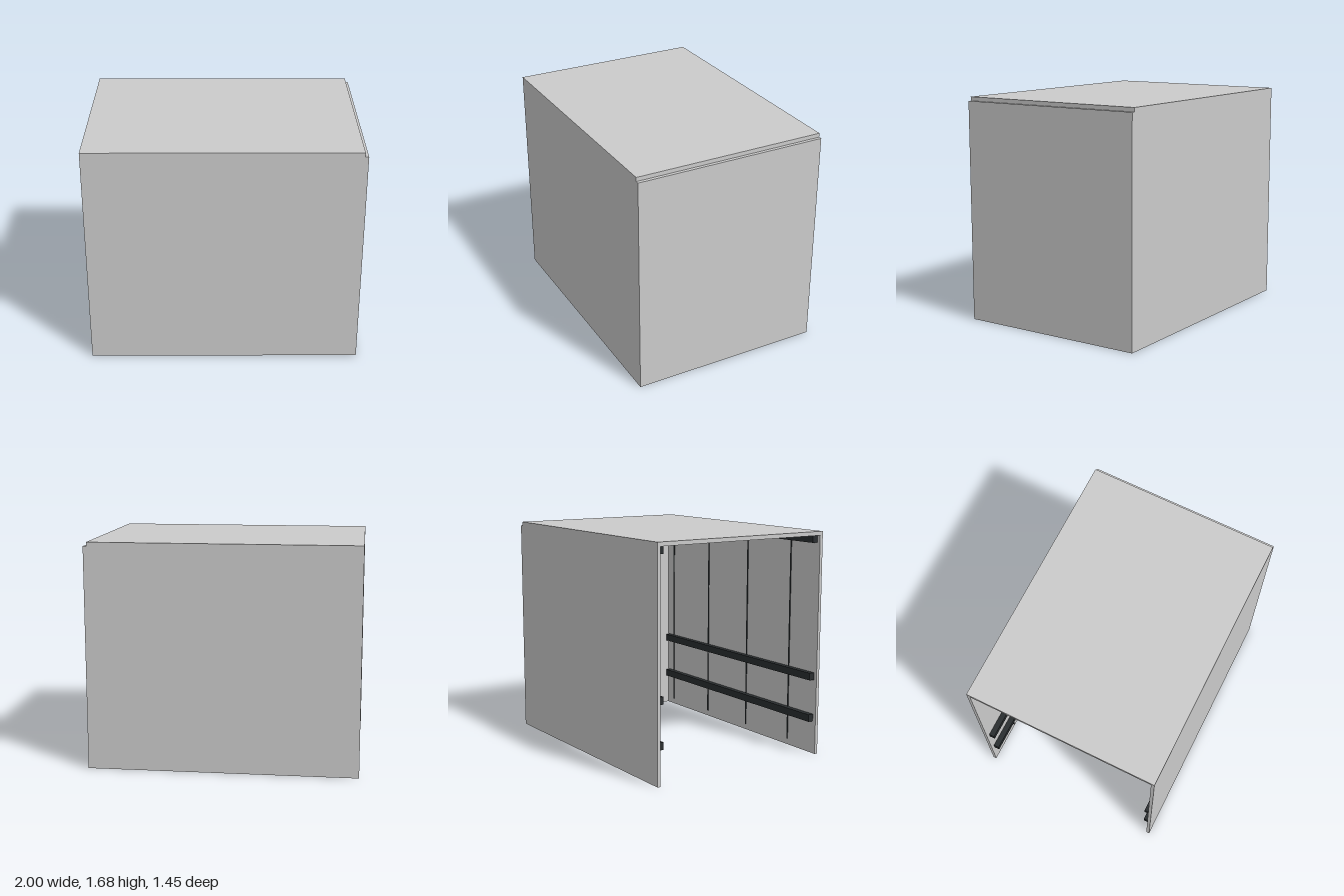
import * as THREE from 'three';

const grey = new THREE.MeshStandardMaterial({ color: 0xcccccc });
const dark = new THREE.MeshStandardMaterial({ color: 0x2a2e30 });

// Box given by its limits on each axis
function box(name, [x0, x1], [y0, y1], [z0, z1], material = grey) {
  const mesh = new THREE.Mesh(new THREE.BoxGeometry(x1 - x0, y1 - y0, z1 - z0), material);
  mesh.position.set((x0 + x1) / 2, (y0 + y1) / 2, (z0 + z1) / 2);
  mesh.name = name;
  return mesh;
}

export function createModel() {
  const group = new THREE.Group();
  group.name = 'cabinetShell';

  const depth = 0.724;    // half depth
  const wall = 0.025;     // panel thickness
  const height = 1.655;
  const inner = depth - wall;

  // Top board and closed end; the other end and the bottom are open
  group.add(box('topPanel', [-1, 0.975], [height, 1.685], [-depth, depth]));
  group.add(box('endPanel', [0.975, 1], [0, height], [-depth, depth]));

  // Long walls with their inside fittings, mirrored front and back
  for (const side of [1, -1]) {
    const span = (a, b) => (side > 0 ? [a, b] : [-b, -a]);
    const label = side > 0 ? 'front' : 'back';
    group.add(box(label + 'Panel', [-1, 0.975], [0, height], span(inner, depth)));

    // Runners along the wall, and a cleat under the top
    for (const y of [0.25, 0.57]) {
      group.add(box(label + 'Runner', [-0.97, 0.95], [y, y + 0.055], span(inner - 0.042, inner), dark));
    }
    group.add(box(label + 'TopCleat', [-0.97, 0.95], [1.6, height], span(inner - 0.042, inner), dark));

    // Thin upright strips
    for (const x of [-0.68, -0.155, 0.37, 0.885]) {
      group.add(box(label + 'Upright', [x - 0.005, x + 0.005], [0.045, 1.6], span(inner - 0.005, inner), dark));
    }
  }
  return group;
}
